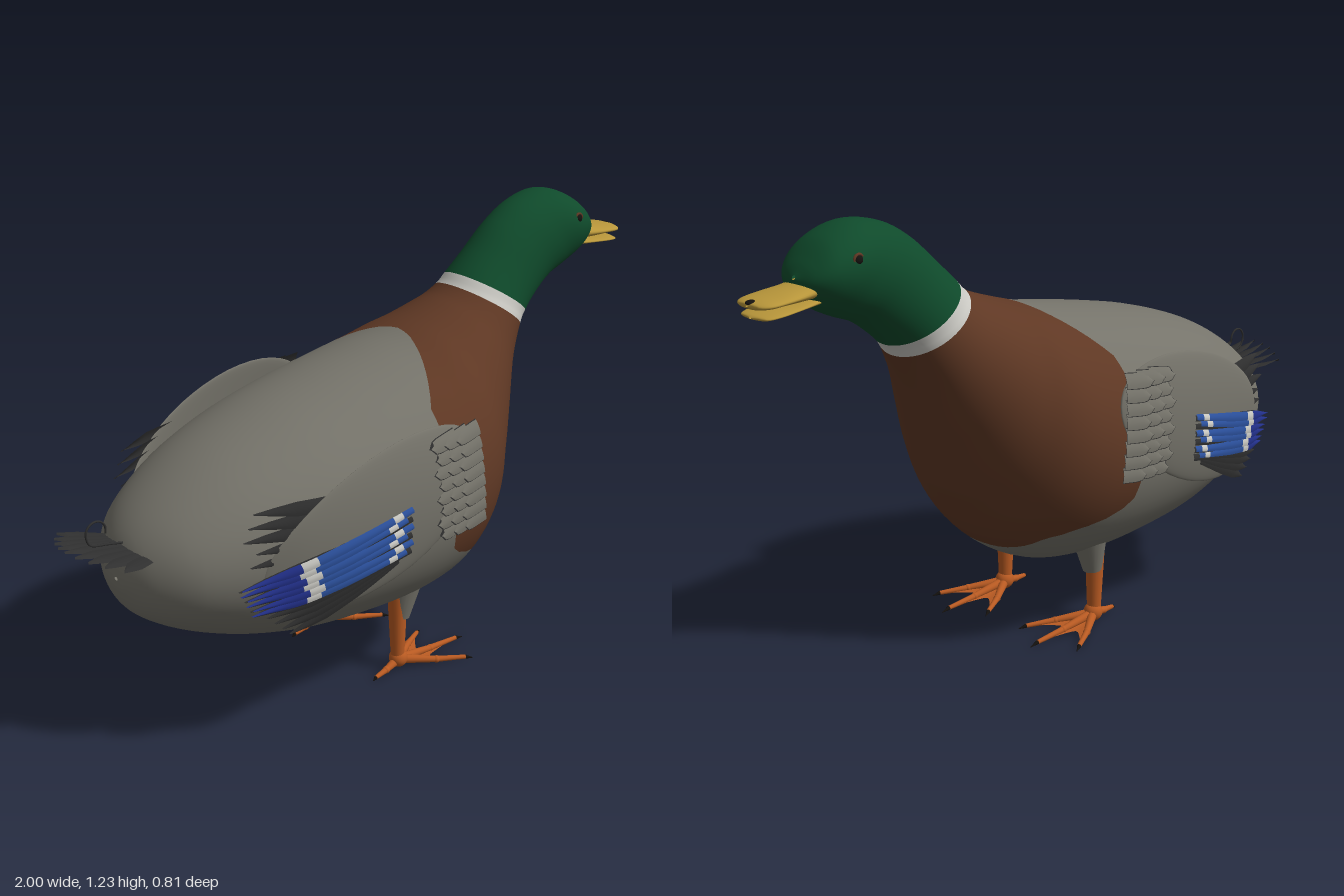
import * as THREE from 'three';
import { mergeGeometries } from 'three/addons/utils/BufferGeometryUtils.js';

const V = (x, y, z) => new THREE.Vector3(x, y, z);
const mat = (name, color, side = THREE.DoubleSide) => {
  const m = new THREE.MeshStandardMaterial({ color, side });
  m.name = name;
  return m;
};
const M = {
  grey: mat('grey plumage', 0x75736a), brown: mat('chestnut', 0x5f3824), green: mat('green', 0x0f4a2b),
  white: mat('white', 0xc9c8c2), beak: mat('yellow', 0xb8963a), orange: mat('orange', 0xb85a22),
  blue: mat('blue', 0x2b509c), navy: mat('navy', 0x22308a), dark: mat('dark feather', 0x2f2f2f),
  black: mat('black', 0x15120f),
};

function add(parent, name, geos, material) {
  const mesh = new THREE.Mesh(Array.isArray(geos) ? mergeGeometries(geos) : geos, material);
  mesh.name = name;
  parent.add(mesh);
  return mesh;
}

// Indexed grid of (nu+1) x (nv+1) points; normal points along du x dv
function grid(nu, nv, point, normal) {
  const pos = [], nor = [], idx = [];
  for (let j = 0; j <= nv; j++) for (let i = 0; i <= nu; i++) {
    pos.push(...point(i / nu, j / nv).toArray());
    if (normal) nor.push(...normal(i / nu, j / nv).toArray());
    if (i < nu && j < nv) {
      const a = j * (nu + 1) + i, c = a + nu + 1;
      idx.push(a, a + 1, c, a + 1, c + 1, c);
    }
  }
  const g = new THREE.BufferGeometry();
  g.setAttribute('position', new THREE.Float32BufferAttribute(pos, 3));
  g.setIndex(idx);
  if (normal) g.setAttribute('normal', new THREE.Float32BufferAttribute(nor, 3));
  else g.computeVertexNormals();
  return g;
}

// Loft through elliptical rings [topX, topY, bottomX, bottomY, halfWidth]; returns a patch builder
function loft(rings) {
  const top = new THREE.CatmullRomCurve3(rings.map(r => V(r[0], r[1], r[4])));
  const bottom = new THREE.CatmullRomCurve3(rings.map(r => V(r[2], r[3], 0)));
  const n = rings.length - 1;
  const surf = (v, a) => {
    const k = THREE.MathUtils.clamp(v / n, 0, 1), t = top.getPoint(k), b = bottom.getPoint(k);
    const c = (1 + Math.cos(a)) / 2;
    return V(b.x + (t.x - b.x) * c, b.y + (t.y - b.y) * c, t.z * Math.sin(a));
  };
  const normal = (v, a) => {
    const e = 0.01;
    const da = surf(v, a + e).sub(surf(v, a - e)), dv = surf(v + e, a).sub(surf(v - e, a));
    return da.cross(dv).normalize();
  };
  return (from, to, nu, nv) => {
    const at = f => (u, w) => {
      const a = u * Math.PI * 2;
      return f(THREE.MathUtils.lerp(from(a), to(a), w), a);
    };
    return grid(nu, nv, at(surf), at(normal));
  };
}

// Feather vane from base to tip, limited to lengths t0..t1, placed by a map (a, b, lift) -> point
function feather(map, base, tip, width, { t0 = 0, t1 = 1, round = false, lift = 0, tilt = 0.003 } = {}) {
  const dx = tip[0] - base[0], dy = tip[1] - base[1], l = Math.hypot(dx, dy);
  return grid(4, 7, (u, v) => {
    const t = t0 + (t1 - t0) * v, s = u * 2 - 1;
    const w = width * (round ? Math.sqrt(Math.max(0, 1 - t ** 6)) : Math.min(1, 0.6 + t, (1 - t) * 4));
    return map(base[0] + dx * t - dy / l * s * w, base[1] + dy * t + dx / l * s * w,
      lift + 0.003 * (1 - s * s) + tilt * s);
  });
}

// Tapered rod between two points
function rod(a, b, ra, rb, seg = 14) {
  const d = b.clone().sub(a), g = new THREE.CylinderGeometry(rb, ra, d.length(), seg);
  g.applyQuaternion(new THREE.Quaternion().setFromUnitVectors(V(0, 1, 0), d.clone().normalize()));
  const c = a.clone().add(b).multiplyScalar(0.5);
  return g.translate(c.x, c.y, c.z);
}
const ball = (p, r, sx = 1, sy = 1, sz = 1) =>
  new THREE.SphereGeometry(r, 20, 14).scale(sx, sy, sz).translate(p.x, p.y, p.z);

function buildBody(duck) {
  const patch = loft([
    [-0.855, 0.495, -0.855, 0.485, 0.006], [-0.85, 0.53, -0.85, 0.455, 0.045], [-0.82, 0.60, -0.82, 0.39, 0.12],
    [-0.75, 0.67, -0.75, 0.335, 0.205], [-0.6, 0.76, -0.6, 0.265, 0.285], [-0.4, 0.83, -0.4, 0.21, 0.345],
    [-0.2, 0.875, -0.2, 0.187, 0.37], [-0.03, 0.905, 0, 0.183, 0.375], [0.08, 0.925, 0.14, 0.21, 0.363],
    [0.15, 0.945, 0.25, 0.285, 0.33], [0.2, 0.96, 0.34, 0.42, 0.275], [0.26, 0.98, 0.42, 0.6, 0.215],
    [0.305, 0.998, 0.49, 0.765, 0.163], [0.335, 1.018, 0.55, 0.872, 0.135], [0.36, 1.045, 0.575, 0.898, 0.126],
    [0.42, 1.10, 0.62, 0.935, 0.116], [0.5, 1.17, 0.68, 0.975, 0.111], [0.585, 1.217, 0.745, 1.0, 0.112],
    [0.69, 1.235, 0.805, 1.03, 0.113], [0.775, 1.207, 0.84, 1.06, 0.094], [0.83, 1.155, 0.855, 1.085, 0.058],
    [0.855, 1.12, 0.86, 1.11, 0.006],
  ]);
  // Breast edge as [degrees from the back, ring number]
  const edge = [[0, 8.55], [8, 8.45], [45, 7.15], [90, 6.95], [112, 7.1], [128, 8.2], [142, 8.65], [180, 8.8]];
  const breastEdge = a => {
    let d = THREE.MathUtils.radToDeg(a);
    if (d > 180) d = 360 - d;
    const i = Math.max(1, edge.findIndex(e => d <= e[0] + 1e-6));
    return THREE.MathUtils.mapLinear(d, edge[i - 1][0], edge[i][0], edge[i - 1][1], edge[i][1]);
  };
  const at = v => () => v;
  add(duck, 'greyBody', patch(at(0), breastEdge, 72, 40), M.grey);
  add(duck, 'breast', patch(breastEdge, at(12.85), 72, 30), M.brown);
  add(duck, 'collar', patch(at(12.85), at(13.9), 72, 4), M.white);
  add(duck, 'head', patch(at(13.9), at(21), 72, 40), M.green);

  // Bill
  const upper = loft([[0.8, 1.115, 0.8, 1.06, 0.055], [0.86, 1.1, 0.86, 1.06, 0.063], [0.93, 1.089, 0.93, 1.062, 0.069],
    [0.975, 1.083, 0.975, 1.06, 0.062], [0.994, 1.078, 0.994, 1.062, 0.042], [1, 1.071, 1, 1.068, 0.004]]);
  const lower = loft([[0.8, 1.07, 0.8, 1.045, 0.05], [0.88, 1.058, 0.88, 1.042, 0.06], [0.95, 1.052, 0.95, 1.036, 0.063],
    [0.98, 1.047, 0.98, 1.034, 0.05], [0.992, 1.042, 0.992, 1.038, 0.004]]);
  add(duck, 'upperBill', upper(at(0), at(5), 32, 20), M.beak);
  add(duck, 'lowerBill', lower(at(0), at(4), 32, 16), M.beak);
  add(duck, 'billNail', ball(V(0.982, 1.075, 0), 0.018, 1, 0.4, 1.1), M.black);

  for (const s of [1, -1]) {
    add(duck, 'eye', ball(V(0.742, 1.155, s * 0.1), 0.014), M.black);
    add(duck, 'eyeRing', new THREE.TorusGeometry(0.014, 0.004, 8, 20).translate(0.742, 1.155, s * 0.104), M.brown);
  }
}

function buildWing(duck, s) {
  const wing = new THREE.Group();
  wing.name = s > 0 ? 'leftWing' : 'rightWing';
  duck.add(wing);
  const plan = new THREE.SplineCurve([[-0.7, 0.268], [-0.5, 0.335], [-0.3, 0.37], [-0.1, 0.382], [0.1, 0.364]]
    .map(p => new THREE.Vector2(...p)));
  const map = (x, y, lift) =>
    V(x, y, s * (plan.getPoint(THREE.MathUtils.clamp((x + 0.7) / 0.8, 0, 1)).y - 0.5 * (y - 0.58) ** 2 + lift));

  // Smooth covert panel: a flattened, bent ellipsoid
  const panel = new THREE.SphereGeometry(1, 40, 24), p = panel.attributes.position;
  for (let i = 0; i < p.count; i++) {
    const a = p.getX(i) * 0.36, b = p.getY(i) * 0.18, c = Math.cos(0.36), k = Math.sin(0.36);
    const q = map(-0.27 + a * c - b * k, 0.592 + a * k + b * c, 0);
    p.setXYZ(i, q.x, q.y, q.z + p.getZ(i) * 0.016);
  }
  panel.computeVertexNormals();
  add(wing, 'covertPanel', panel, M.grey);

  // Dark flight feathers above and below the blue band
  const flight = [];
  for (let i = 0; i < 5; i++) {
    flight.push(feather(map, [-0.25, 0.68 - 0.02 * i], [-0.63 - 0.015 * (i % 3), 0.69 - 0.035 * i], 0.018, { lift: -0.004 + 0.001 * i }));
    flight.push(feather(map, [-0.24, 0.51 - 0.008 * i], [-0.63 + 0.022 * i, 0.425 - 0.021 * i], 0.017, { lift: 0.017 - 0.001 * i }));
  }
  add(wing, 'flightFeathers', flight, M.dark);

  // Blue band with white bars
  const bands = [[0, 0.07, 'blue'], [0.07, 0.13, 'white'], [0.13, 0.6, 'blue'], [0.6, 0.69, 'white'], [0.69, 1, 'navy']];
  for (const colour of ['blue', 'white', 'navy']) {
    const geos = [];
    for (let i = 0; i < 6; i++) for (const [t0, t1, c] of bands) {
      const shift = i % 2 * 0.02;
      if (c === colour) geos.push(feather(map, [-0.2 - shift, 0.615 - 0.023 * i], [-0.68 + 0.008 * i - shift / 2, 0.5 - 0.016 * i], 0.0125, { t0, t1, lift: 0.021 }));
    }
    add(wing, colour + 'Band', geos, M[colour]);
  }
  const bandEdge = [];
  for (let i = 0; i < 6; i++)
    bandEdge.push(feather(map, [-0.2, 0.612 - 0.023 * i], [-0.685 + 0.008 * i, 0.497 - 0.016 * i], 0.015, { lift: 0.016 }));
  add(wing, 'bandEdges', bandEdge, M.dark);

  // Rows of rounded shoulder feathers, each with a narrow dark rim
  const rows = [], rims = [];
  for (let r = 0; r < 8; r++) for (let c = 0; c < 3; c++) {
    const y = 0.765 - r * 0.036, x = 0.065 + r * 0.003 - c * 0.045;
    const base = [x, y], tip = [x - 0.095 + (r % 2) * 0.012, y - 0.012], lift = 0.021 - c * 0.003;
    rows.push(feather(map, base, tip, 0.0195, { round: true, lift, tilt: 0.004 }));
    rims.push(feather(map, base, [tip[0] - 0.003, tip[1] - 0.001], 0.0215, { round: true, lift: lift - 0.0015, tilt: 0.004 }));
  }
  add(wing, 'shoulderFeathers', rows, M.grey);
  add(wing, 'shoulderFeatherRims', rims, M.dark);
}

function buildTail(duck) {
  const map = (x, z, lift) => V(x, 0.565 + (-0.78 - x) * 0.2 + lift, z);
  const fan = [];
  for (let i = -4; i <= 4; i++)
    fan.push(feather(map, [-0.76, i * 0.014], [-1 + 0.0045 * i * i, i * 0.037], 0.02, { lift: -Math.abs(i) * 0.002 }));
  add(duck, 'tailFan', fan, M.dark);
  // Curled tail feather
  const pts = [V(-0.79, 0.575, 0), V(-0.87, 0.592, 0), V(-0.925, 0.605, 0)];
  for (let i = 0; i <= 6; i++) {
    const a = Math.PI * (1.1 - i * 0.2);
    pts.push(V(-0.907 + Math.cos(a) * 0.03, 0.634 + Math.sin(a) * 0.03, 0));
  }
  add(duck, 'tailCurl', new THREE.TubeGeometry(new THREE.CatmullRomCurve3(pts), 50, 0.003, 6), M.dark);
}

function buildLeg(duck, s) {
  const leg = new THREE.Group();
  leg.name = s > 0 ? 'leftLeg' : 'rightLeg';
  leg.position.set(-0.035, 0, s * 0.175);
  duck.add(leg);
  add(leg, 'thigh', rod(V(0.02, 0.27, 0), V(0.005, 0.16, 0), 0.052, 0.027, 24), M.grey);
  add(leg, 'shank', [rod(V(-0.005, 0.24, 0), V(-0.003, 0.03, 0), 0.029, 0.019, 20), ball(V(0, 0.03, 0), 0.027)], M.orange);
  // Toes as [tip x, tip z]
  const toes = [[0.17, -0.1], [0.23, 0], [0.17, 0.1], [-0.1, 0.015]];
  const parts = [], claws = [];
  for (const [x, z] of toes) {
    const mid = V(x * 0.55, 0.014, z * 0.6), tip = V(x, 0.009, z);
    parts.push(rod(V(0, 0.026, 0), mid, 0.014, 0.009), ball(mid, 0.0105), rod(mid, tip, 0.009, 0.006));
    claws.push(rod(tip, V(x * 1.12, 0.003, z * 1.1), 0.006, 0.001, 8));
  }
  add(leg, 'toes', parts, M.orange);
  add(leg, 'claws', claws, M.black);
  // Webs with a scooped front edge
  const web = [0, 1].map(i => grid(8, 4, (u, v) => {
    const a = toes[i], b = toes[i + 1], reach = v * (0.88 - 1.5 * u * (1 - u));
    return V((a[0] + (b[0] - a[0]) * u) * reach, 0.016 - 0.008 * v, (a[1] + (b[1] - a[1]) * u) * reach);
  }));
  add(leg, 'webs', web, M.orange);
}

export function createModel() {
  const duck = new THREE.Group();
  duck.name = 'duck';
  buildBody(duck);
  buildTail(duck);
  for (const s of [1, -1]) {
    buildWing(duck, s);
    buildLeg(duck, s);
  }
  return duck;
}
